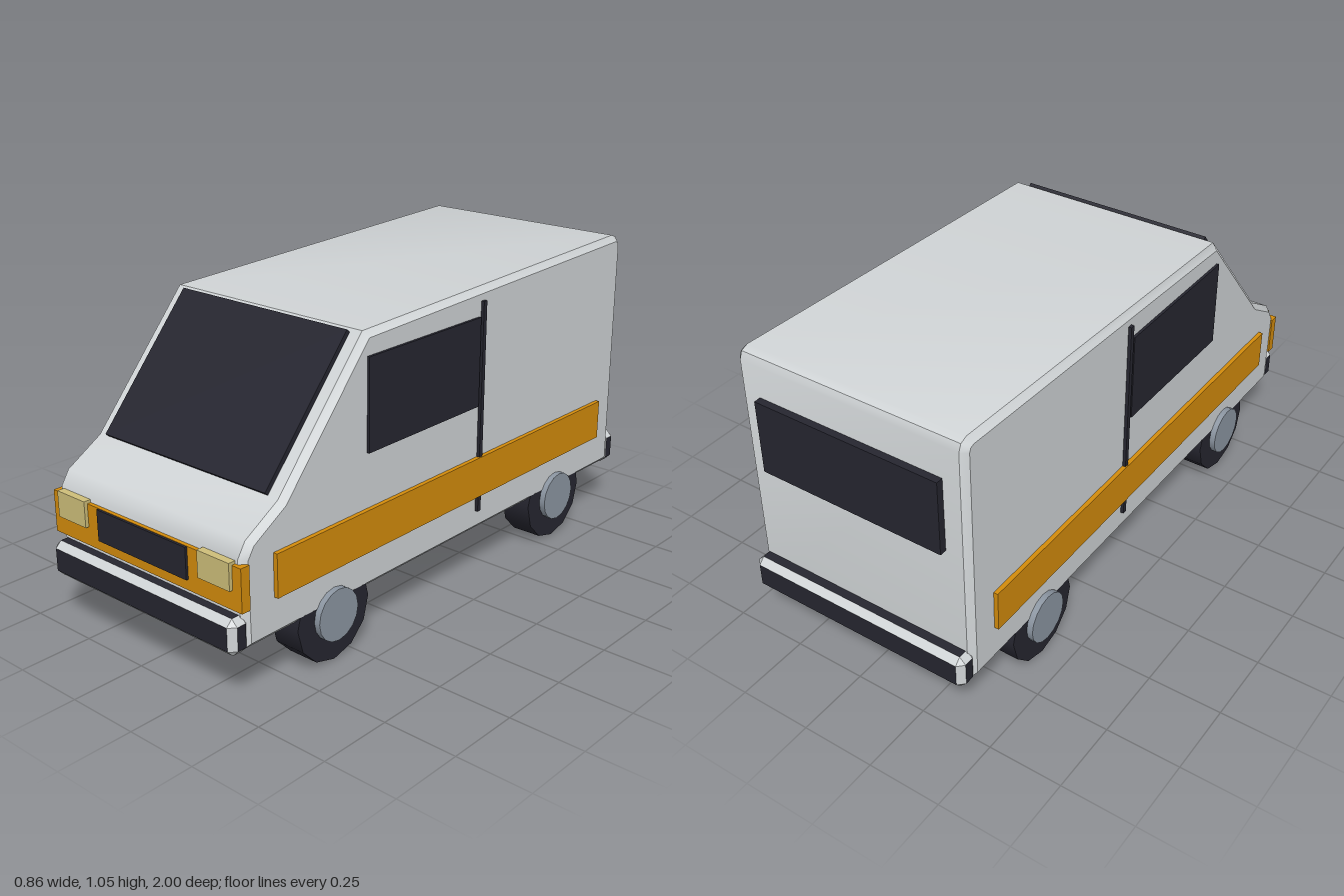
import * as THREE from 'three';
import { toCreasedNormals } from 'three/addons/utils/BufferGeometryUtils.js';
import { ConvexGeometry } from 'three/addons/geometries/ConvexGeometry.js';

function material(name, color) {
  const m = new THREE.MeshStandardMaterial({ color });
  m.name = name;
  return m;
}

// Box with chamfered edges: flat faces use material 0, chamfers use material 1
function chamferedBox(w, h, d, c) {
  const points = [];
  for (const sx of [-1, 1]) for (const sy of [-1, 1]) for (const sz of [-1, 1]) {
    const corner = new THREE.Vector3(sx * w / 2, sy * h / 2, sz * d / 2);
    for (let axis = 0; axis < 3; axis++) {
      const inset = new THREE.Vector3(-sx * c, -sy * c, -sz * c).setComponent(axis, 0);
      points.push(corner.clone().add(inset));
    }
  }
  const geo = new ConvexGeometry(points);
  const n = geo.attributes.normal;
  for (let i = 0; i < n.count; i += 3) {
    const flat = Math.max(Math.abs(n.getX(i)), Math.abs(n.getY(i)), Math.abs(n.getZ(i))) > 0.99;
    geo.addGroup(i, 3, flat ? 0 : 1);
  }
  return geo;
}

export function createModel() {
  const van = new THREE.Group();
  van.name = 'van';
  const paint = material('body paint', 0xd0d4d6);
  const dark = material('dark glass and rubber', 0x262630);
  const orange = material('orange trim', 0xd48c0c);
  const metal = material('hub metal', 0x8c96a2);
  const lamp = material('headlight', 0xcfbf7a);

  const add = (name, geo, mat, x = 0, y = 0, z = 0) => {
    const mesh = new THREE.Mesh(geo, mat);
    mesh.name = name;
    mesh.position.set(x, y, z);
    van.add(mesh);
    return mesh;
  };
  // Box given by its limits on each axis
  const block = (name, mat, [x0, x1], [y0, y1], [z0, z1]) =>
    add(name, new THREE.BoxGeometry(x1 - x0, y1 - y0, z1 - z0), mat,
      (x0 + x1) / 2, (y0 + y1) / 2, (z0 + z1) / 2);

  // Body: side profile (z, y) extruded across the width with a small bevel
  const profile = [[-0.95, 0.18], [0.95, 0.18], [0.955, 0.465], [0.925, 0.512], [0.795, 0.59],
    [0.435, 1.003], [-0.915, 1.05], [-0.94, 1.04], [-0.95, 1.015]];
  const shape = new THREE.Shape(profile.map(([z, y]) => new THREE.Vector2(z, y)));
  const bevel = 0.02;
  const body = new THREE.ExtrudeGeometry(shape, {
    depth: 0.82 - 2 * bevel, bevelEnabled: true, bevelSegments: 1,
    bevelSize: bevel, bevelThickness: bevel, bevelOffset: -bevel,
  });
  body.translate(0, 0, -(0.41 - bevel));
  body.rotateY(-Math.PI / 2);
  add('body', toCreasedNormals(body, 0.7), paint);

  // Windscreen lying on the sloped front
  const low = new THREE.Vector2(0.797, 0.597), high = new THREE.Vector2(0.448, 0.997);
  const run = high.clone().sub(low);
  const screen = add('windscreen', new THREE.BoxGeometry(0.70, run.length(), 0.02), dark,
    0, (low.y + high.y) / 2, (low.x + high.x) / 2);
  screen.rotation.x = Math.atan2(run.x, run.y);

  block('rearWindow', dark, [-0.33, 0.33], [0.65, 0.905], [-0.974, -0.945]);

  // Front band, grille and headlights
  block('frontBand', orange, [-0.415, 0.415], [0.31, 0.45], [0.935, 0.968]);
  block('grille', dark, [-0.197, 0.197], [0.345, 0.449], [0.95, 0.976]);

  // Bumpers
  for (const [name, z] of [['frontBumper', 0.9625], ['rearBumper', -0.9625]])
    add(name, chamferedBox(0.81, 0.118, 0.075, 0.021), [dark, paint], 0, 0.231, z);

  // Parts repeated on both sides
  for (const [side, s] of [['left', 1], ['right', -1]]) {
    const span = (a, b) => (s > 0 ? [a, b] : [-b, -a]);
    block(side + 'Headlight', lamp, span(0.25, 0.38), [0.373, 0.46], [0.95, 0.98]);
    block(side + 'Window', dark, span(0.40, 0.419), [0.63, 0.93], [-0.105, 0.435]);
    block(side + 'DoorSeam', dark, span(0.40, 0.421), [0.255, 0.98], [-0.131, -0.115]);
    block(side + 'Stripe', orange, span(0.40, 0.425), [0.31, 0.45], [-0.842, 0.836]);

    for (const [end, z] of [['Front', 0.585], ['Rear', -0.59]]) {
      const tyre = new THREE.CylinderGeometry(0.157, 0.157, 0.109, 12).rotateZ(Math.PI / 2);
      add(side + end + 'Tyre', tyre, dark, s * 0.3545, 0.157, z);
      const hub = new THREE.CylinderGeometry(0.086, 0.086, 0.145, 16).rotateZ(Math.PI / 2);
      add(side + end + 'Hub', hub, metal, s * 0.3575, 0.158, z);
    }
  }
  return van;
}
